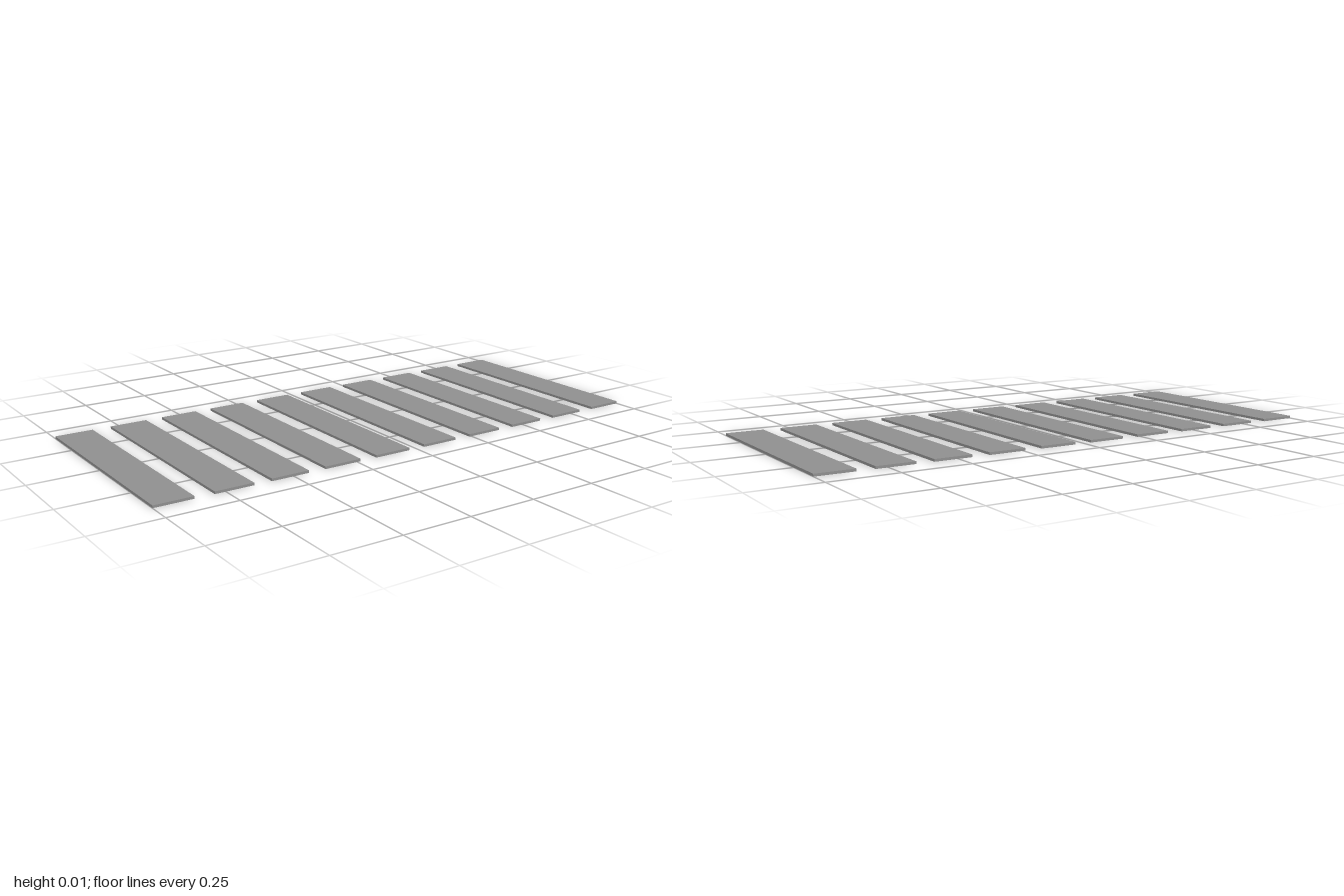
import * as THREE from 'three';

const COUNT = 10;
const WIDTH = 0.141;
const HEIGHT = 0.009;
const DEPTH = 0.817;
const PITCH = 0.206;
const LAST_X = 1 - WIDTH / 2;

export function createModel() {
  const model = new THREE.Group();
  model.name = 'crosswalk';
  const material = new THREE.MeshStandardMaterial({ color: 0x909090 });
  const geometry = new THREE.BoxGeometry(WIDTH, HEIGHT, DEPTH);

  // Row of identical thin stripes along x; the gap after the first is slightly wider
  for (let i = 0; i < COUNT; i++) {
    const stripe = new THREE.Mesh(geometry, material);
    stripe.name = `stripe${i + 1}`;
    const x = i === 0 ? -LAST_X : LAST_X - (COUNT - 1 - i) * PITCH;
    stripe.position.set(x, HEIGHT / 2, 0);
    model.add(stripe);
  }
  return model;
}
